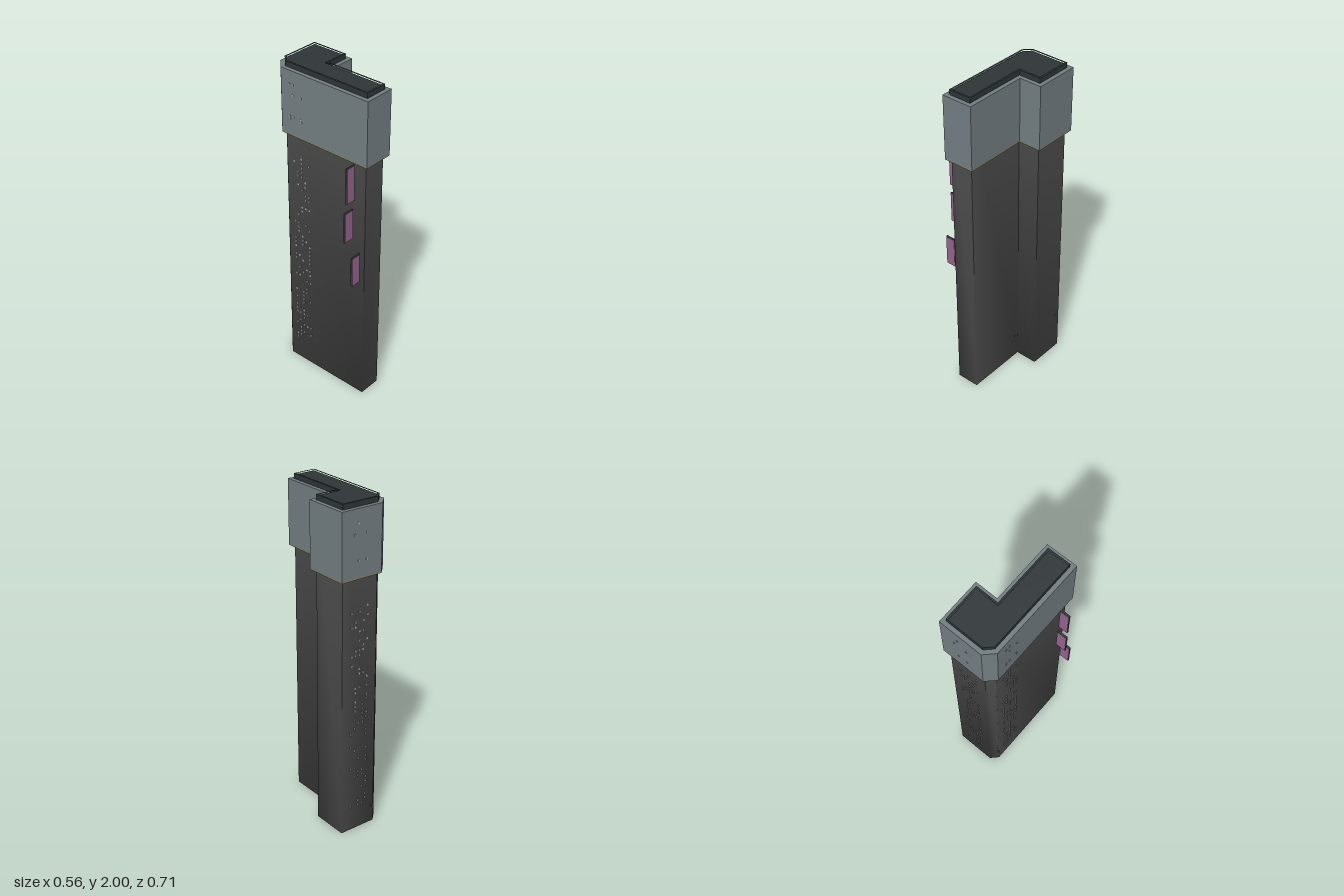
import * as THREE from 'three';

// Footprint of the tower as [x, z], running clockwise when seen from above
const FOOTPRINT = [
  [-0.09, -0.32], [0.07, -0.16], [-0.0275, -0.0625], [0.245, 0.21],
  [0.147, 0.31], [-0.256, -0.095], [-0.256, -0.154],
];

const material = (color) => new THREE.MeshStandardMaterial({ color });
const WALL = material(0x525252);
const BAND = material(0x737e82);
const ROOF = material(0x2f3538);
const TRIM = material(0x8a8450);
const PINK = material(0x96648f);
const FRAME = material(0x3a353a);
const LIGHT = material(0xa8a8a8);

// Mitred outline, moved outwards by d
function outline(d) {
  const n = FOOTPRINT.length;
  const normal = (a, b) => new THREE.Vector2(b[1] - a[1], a[0] - b[0]).normalize();
  return FOOTPRINT.map((p, i) => {
    const n1 = normal(FOOTPRINT[(i + n - 1) % n], p);
    const n2 = normal(p, FOOTPRINT[(i + 1) % n]);
    const k = d / (1 + n1.dot(n2));
    return new THREE.Vector2(p[0] + (n1.x + n2.x) * k, -(p[1] + (n1.y + n2.y) * k));
  });
}

// Upright prism between two heights, with an optional hollow
function prism(name, offset, y0, y1, mat, hollow) {
  const shape = new THREE.Shape(outline(offset));
  if (hollow !== undefined) shape.holes.push(new THREE.Path(outline(hollow)));
  const geo = new THREE.ExtrudeGeometry(shape, { depth: y1 - y0, bevelEnabled: false });
  geo.rotateX(-Math.PI / 2).translate(0, y0, 0);
  const mesh = new THREE.Mesh(geo, mat);
  mesh.name = name;
  return mesh;
}

// Shares the normals around the foot, so the corners soften towards the ground
function softenFoot(geo) {
  const { position: p, normal: nor } = geo.attributes;
  const sums = new Map();
  const key = (i) => p.getX(i).toFixed(3) + ',' + p.getZ(i).toFixed(3);
  const v = new THREE.Vector3();
  for (let i = 0; i < p.count; i++) {
    if (p.getY(i) > 0.01) continue;
    if (!sums.has(key(i))) sums.set(key(i), new THREE.Vector3());
    sums.get(key(i)).add(v.fromBufferAttribute(nor, i));
  }
  for (let i = 0; i < p.count; i++) {
    if (p.getY(i) > 0.01) continue;
    v.copy(sums.get(key(i))).normalize();
    nor.setXYZ(i, v.x, v.y, v.z);
  }
}

function box(name, w, h, d, mat, x, y, z) {
  const mesh = new THREE.Mesh(new THREE.BoxGeometry(w, h, d), mat);
  mesh.name = name;
  mesh.position.set(x, y, z);
  return mesh;
}

// Scattered small lights; local x runs along the wall, local z points outwards
function lightField(name, seed, x, z, angle) {
  const group = new THREE.Group();
  group.name = name;
  group.position.set(x, 0, z);
  group.rotation.y = angle;
  let s = seed;
  const random = () => (s = (s * 16807) % 2147483647) / 2147483647;
  const add = (u, y, out) => group.add(box('windowLight', 0.009, 0.012, 0.004, LIGHT, u, y, out));
  for (let y = 0.155; y < 1.44; y += 0.0285) {
    for (let c = -2; c <= 2; c++) {
      if (random() < 0.29) add(c * 0.027, y, 0.001);
    }
  }
  // Fewer lights on the upper band
  for (const y of [1.685, 1.7, 1.83, 1.89]) {
    for (const u of [-0.055, -0.03, 0.025]) {
      if (random() < 0.6) add(u, y, 0.025);
    }
  }
  return group;
}

// Blade sign standing off the long wall; "along" is x + z on the footprint
function sign(along, y0, y1, near, far) {
  const group = new THREE.Group();
  group.name = 'bladeSign';
  // Wall point, where z - x = 0.162
  group.position.set((along - 0.162) / 2, (y0 + y1) / 2, (along + 0.162) / 2);
  group.rotation.y = -Math.PI / 4;
  const h = y1 - y0, mid = (near + far) / 2, len = far - near;
  group.add(box('signFrame', 0.01, h, len, FRAME, 0, 0, mid));
  for (const side of [-1, 1]) {
    group.add(box('signPanel', 0.002, h - 0.006, len - 0.004, PINK, side * 0.006, 0, mid));
  }
  return group;
}

export function createModel() {
  const model = new THREE.Group();
  model.name = 'tower';

  // Main shaft
  const shaft = prism('shaft', 0, 0, 1.97, WALL);
  softenFoot(shaft.geometry);
  model.add(shaft);

  // Crown: overhanging band, its lower trim, parapet and roof
  model.add(prism('crownBand', 0.0245, 1.587, 1.97, BAND));
  model.add(prism('crownTrim', 0.0245, 1.58, 1.587, TRIM));
  model.add(prism('parapet', 0, 1.97, 2, ROOF, -0.011));
  model.add(prism('roof', -0.011, 1.97, 1.995, ROOF));

  // Lights on the long front wall and on the back wall
  model.add(lightField('frontLights', 4211, -0.18, -0.0185, -Math.PI / 4));
  model.add(lightField('backLights', 977, -0.173, -0.237, -Math.PI * 3 / 4));

  // Three signs down the long wall
  model.add(sign(0.362, 1.35, 1.57, 0.02, 0.08));
  model.add(sign(0.352, 1.10, 1.29, 0.02, 0.085));
  model.add(sign(0.424, 0.83, 1.02, 0.02, 0.083));

  return model;
}
